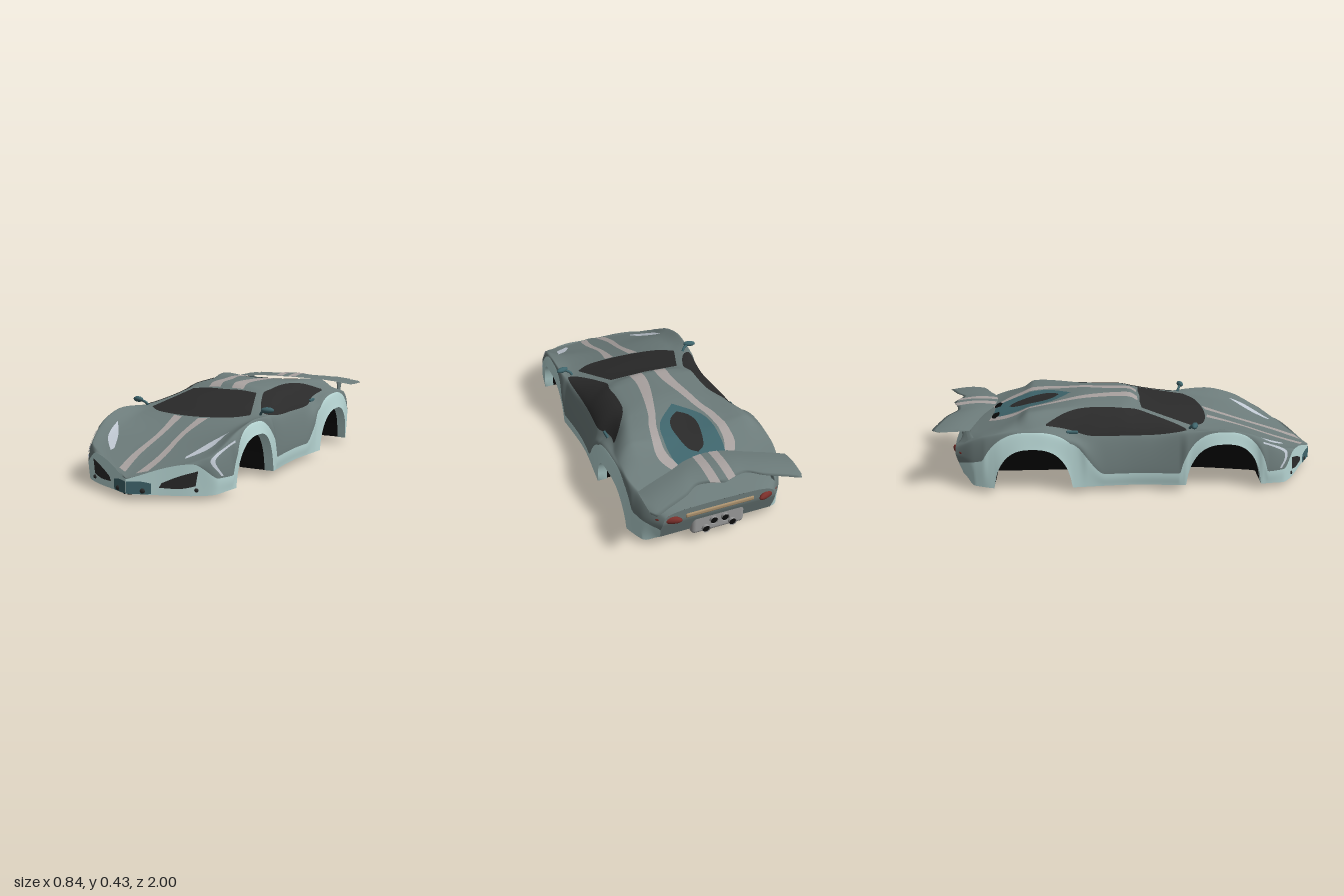
import * as THREE from 'three';
import { RoundedBoxGeometry } from 'three/addons/geometries/RoundedBoxGeometry.js';

const mat = (color) => new THREE.MeshStandardMaterial({ color, side: THREE.DoubleSide });
const M = {
  body: mat(0x6c7b7a), trim: mat(0xb9d8d6), teal: mat(0x3f656c), glass: mat(0x2a2a2a), black: mat(0x0b0b0b),
  stripe: mat(0xa8a19f), lamp: mat(0xc0c8d2), red: mat(0x7a2f2a), gold: mat(0xa88f6c), metal: mat(0x999999),
};

// Monotone cubic interpolation through rising xs
function smooth(xs, ys, x) {
  const n = xs.length - 1;
  let i = 0;
  while (i < n - 1 && x > xs[i + 1]) i++;
  const d = (k) => (ys[k + 1] - ys[k]) / (xs[k + 1] - xs[k]);
  const slope = (k) => {
    if (k === 0) return d(0);
    if (k === n) return d(n - 1);
    const a = d(k - 1), b = d(k);
    return a * b > 0 ? 2 * a * b / (a + b) : 0;
  };
  const h = xs[i + 1] - xs[i], t = THREE.MathUtils.clamp((x - xs[i]) / h, 0, 1), t2 = t * t, t3 = t2 * t;
  return (2 * t3 - 3 * t2 + 1) * ys[i] + (t3 - 2 * t2 + t) * h * slope(i) + (3 * t2 - 2 * t3) * ys[i + 1] + (t3 - t2) * h * slope(i + 1);
}
// Value along the car, given [z, value] points from nose to tail
function profile(points) {
  const zs = points.map((p) => -p[0]), vs = points.map((p) => p[1]);
  return (z) => smooth(zs, vs, -z);
}
const width = profile([[1, 0], [.93, .13], [.85, .285], [.79, .367], [.66, .405], [.47, .42], [0, .39], [-.25, .41],
  [-.45, .43], [-.65, .42], [-.8, .37], [-.9, .3]]);
const beltY = profile([[1, .103], [.9, .15], [.79, .205], [.6, .3], [.46, .326], [.3, .315], [.1, .282], [-.2, .285],
  [-.45, .345], [-.6, .335], [-.75, .3], [-.9, .215]]);
const beltIn = profile([[1, .92], [-.2, .91], [-.37, .83], [-.52, .9], [-.9, .94]]);
const roofX = profile([[1, 0], [.85, .2], [.7, .29], [.3, .295], [.05, .205], [-.2, .21], [-.42, .27], [-.52, .295], [-.9, .2]]);
const roofY = profile([[1, .105], [.79, .19], [.6, .265], [.3, .32], [.05, .388], [-.05, .41], [-.42, .412], [-.52, .405],
  [-.58, .367], [-.9, .24]]);
const centreY = profile([[1, .105], [.8, .172], [.5, .272], [.3, .333], [.06, .394], [0, .427], [-.2, .427], [-.5, .375],
  [-.7, .32], [-.9, .245]]);
const sillY = profile([[1, .03], [.85, .02], [.7, .032], [-.82, .035], [-.9, .08]]);
const trimY = profile([[1, .1], [.86, .17], [.79, .1], [-.13, .1], [-.3, .265], [-.5, .3], [-.72, .19], [-.9, .14]]);
const floorY = profile([[1, .03], [.85, .003], [.6, .025], [.3, .043], [-.7, .04], [-.9, .08]]);

// Wheel arch height above the ground
const arch = (z, c, r, h) => h * Math.sqrt(Math.max(0, 1 - Math.abs((z - c) / r) ** 2.6));
const lip = (z) => [width(z) * .98, Math.max(sillY(z), arch(z, .475, .195, .255), arch(z, -.5, .2, .245))];
const lipInner = (z) => { const [x] = lip(z); return Math.max(x - .05, x * .7); };
// The tail leans forward below the lamps
const lean = (z, y) => z + Math.max(0, (-z - .8) * 10) * .35 * Math.max(0, .18 - y);

// Cross-section at z as a function of v: 0 lip, 1 trim edge, 2 belt, 3 roof edge, 4 centre
function section(z) {
  const w = width(z), ty = Math.max(trimY(z), arch(z, .475, .235, .315), arch(z, -.5, .29, .33)), p = [
    lip(z), [w - Math.max(0, ty - .2) * .22, ty], [w * beltIn(z), beltY(z)],
    [roofX(z), roofY(z)], [0, centreY(z)], [-roofX(z), roofY(z)],
  ];
  const vs = p.map((_, i) => i), px = p.map((q) => q[0]), py = p.map((q) => q[1]);
  return (v) => {
    const y = smooth(vs, py, v);
    return new THREE.Vector3(smooth(vs, px, v), y, lean(z, y));
  };
}

function grid(nu, nv, f) {
  const pos = [], idx = [];
  for (let i = 0; i <= nu; i++) for (let j = 0; j <= nv; j++) pos.push(...f(i / nu, j / nv).toArray());
  for (let i = 0; i < nu; i++) for (let j = 0; j < nv; j++) {
    const a = i * (nv + 1) + j, b = a + nv + 1;
    idx.push(a, b, a + 1, b, b + 1, a + 1);
  }
  const g = new THREE.BufferGeometry();
  g.setAttribute('position', new THREE.Float32BufferAttribute(pos, 3));
  g.setIndex(idx);
  g.computeVertexNormals();
  return g;
}

// Point on the body under a plan position (x, z) or beside a side position (z, y), lifted along the normal
function project(axis, z, target, lift) {
  const s = section(z);
  let [lo, hi] = axis === 'x' ? [1, 4] : [0, roofY(z) > beltY(z) ? 3 : 2];
  for (let i = 0; i < 22; i++) {
    const m = (lo + hi) / 2;
    const below = axis === 'x' ? s(m).x > target : s(m).y < target;
    if (below) lo = m; else hi = m;
  }
  const dv = s(Math.min(lo + .03, 4)).sub(s(Math.max(lo - .03, 0)));
  const dz = section(z - .006)(lo).sub(section(z + .006)(lo));
  const n = dz.cross(dv).normalize();
  if (n.x + n.y < 0) n.negate();
  return s(lo).addScaledVector(n, lift);
}
// Inlay panel between two edge curves, in (x, z) from above or (z, y) from the side
function panel(axis, a, b, side = 1, lift = .003) {
  const curve = (pts) => new THREE.SplineCurve(pts.map((p) => new THREE.Vector2(...p)));
  const A = curve(a), B = curve(b);
  return grid(32, 12, (u, w) => {
    const q = A.getPoint(u).lerp(B.getPoint(u), w);
    const p = axis === 'x' ? project('x', q.y, Math.abs(q.x), lift) : project('y', q.x, q.y, lift);
    p.x *= axis === 'x' && q.x < 0 ? -side : side;
    return p;
  });
}
const flip = (p, s) => { p.x *= s; return p; };

// Wing surface: x across the span, w from leading to trailing edge
function wingPoint(x, w, lift) {
  const a = Math.abs(x);
  const lead = smooth([0, .1, .2, .3, .385], [-.7, -.715, -.755, -.785, -.81], a);
  const trail = smooth([0, .12, .2, .3, .37, .385], [-.935, -.9, -.945, -.98, -1, -.97], a);
  const y = .378 - .038 * (a / .385) ** 2 + .01 * Math.sin(w * Math.PI) - .006 * w;
  return new THREE.Vector3(x, y + lift, THREE.MathUtils.lerp(lead, trail, w));
}

export function createModel() {
  const car = new THREE.Group();
  const add = (name, geo, m, x = 0, y = 0, z = 0) => {
    const mesh = new THREE.Mesh(geo, m);
    mesh.name = name;
    mesh.position.set(x, y, z);
    car.add(mesh);
    return mesh;
  };

  // Main shell, both sides in one piece, and rear closing panel
  add('bodyShell', grid(190, 72, (u, w) => {
    const v = 1 + 6 * w, z = 1 - 1.9 * u;
    return v > 4 ? flip(section(z)(8 - v), -1) : section(z)(v);
  }), M.body);
  const tail = section(-.9);
  add('rearPanel', grid(24, 8, (u, w) => flip(tail(4 * u), 1 - 2 * w)), M.body);

  // Black underside with wheel wells
  add('underside', grid(150, 6, (u, w) => {
    const z = 1 - 1.9 * u, [x, y] = lip(z), f = floorY(z), k = Math.round(w * 6);
    const inner = Math.min(.2, x * .6);
    const [px, py] = [[lipInner(z), y], [inner + .01, y], [inner, f + .012], [0, f]][k > 3 ? 6 - k : k];
    return new THREE.Vector3(k > 3 ? -px : px, py, lean(z, py));
  }), M.black);

  // Windscreen and engine cover
  add('windscreen', panel('x', [[-.292, .325], [-.2, .388], [0, .414], [.2, .388], [.292, .325]],
    [[-.192, .062], [-.1, .055], [0, .06], [.1, .055], [.192, .062]]), M.glass);
  const cover = [[0, -.31], [.11, -.42], [.14, -.54], [.13, -.67], [.07, -.72]];
  const port = [[0, -.37], [.05, -.41], [.07, -.48], [.045, -.6], [0, -.64]];
  const mirrored = (pts) => pts.map(([x, z]) => [-x, z]);
  add('engineCover', panel('x', cover, mirrored(cover), 1, .004), M.teal);
  add('engineWindow', panel('x', port, mirrored(port), 1, .007), M.glass);

  // Rear wing with a thin curved underside
  add('rearWing', grid(48, 20, (u, w) => {
    const top = w <= .5, t = top ? w * 2 : 2 - w * 2;
    return wingPoint((u * 2 - 1) * .385, t, top ? 0 : -.012 * Math.sin(t * Math.PI));
  }), M.body);

  for (const s of [1, -1]) {
    // Pale trim and its inward-turned lip
    add('sideTrim', grid(190, 10, (u, w) => flip(section(1 - 1.9 * u)(w), s)), M.trim);
    add('archLip', grid(190, 2, (u, w) => {
      const z = 1 - 1.9 * u, [x, y] = lip(z);
      return new THREE.Vector3(s * THREE.MathUtils.lerp(x, lipInner(z), w), y, lean(z, y));
    }), M.trim);
    // Side glass
    add('sideWindow', panel('y', [[.28, .316], [.14, .295], [0, .291], [-.2, .295], [-.31, .322], [-.43, .35]],
      [[.28, .319], [.12, .364], [-.02, .398], [-.21, .405], [-.33, .395], [-.43, .358]], s), M.glass);
    // Racing stripes
    add('hoodStripe', panel('x', [[.048, .425], [.043, .6], [.05, .8], [.03, .96]],
      [[.1, .415], [.075, .6], [.088, .8], [.08, .935]], s), M.stripe);
    add('roofStripe', panel('x', [[.035, .045], [.04, -.1], [.1, -.33], [.14, -.45], [.155, -.6], [.09, -.73]],
      [[.105, .045], [.1, -.1], [.14, -.33], [.18, -.45], [.205, -.62], [.13, -.74]], s), M.stripe);
    add('wingStripe', grid(4, 12, (u, w) => wingPoint(s * (.02 + .045 * u), w, .002)), M.stripe);
    // Raised wing tip pad and dark vent beside the engine cover
    add('wingTipPad', grid(8, 8, (u, w) => wingPoint(s * (.255 + .085 * u), .15 + .65 * w, .003)), M.body);
    add('engineVent', panel('x', [[.05, -.69], [.1, -.685], [.14, -.7]], [[.05, -.72], [.1, -.725], [.14, -.71]], s, .008), M.black);
    // Headlight and thin running light
    add('headlight', panel('x', [[.322, .6], [.255, .69], [.202, .8]], [[.322, .6], [.295, .72], [.21, .82]], s, .006), M.lamp);
    add('runningLight', panel('y', [[.67, .25], [.79, .185], [.765, .11]], [[.67, .258], [.805, .188], [.777, .11]], s, .004), M.lamp);
    // Nose intakes
    add('frontIntake', panel('y', [[.928, .06], [.885, .055], [.85, .068]], [[.922, .082], [.885, .115], [.845, .138]], s), M.glass);
    add('nosePanel', panel('y', [[1, .033], [.97, .03], [.945, .03]], [[1, .09], [.97, .09], [.945, .08]], s, .004), M.teal);
    for (const [z, y, r] of [[.965, .045, .016], [.848, .048, .012]]) {
      const p = flip(project('y', z, y, .001), s);
      add('noseVent', new THREE.SphereGeometry(r, 16, 10), M.glass, p.x, p.y, p.z).scale.set(1, .8, .5);
    }
    // Door mirror on its stalk
    const mirror = add('mirror', new THREE.SphereGeometry(1, 20, 14), M.teal, s * .384, .349, .32);
    mirror.scale.set(.034, .015, .016);
    mirror.rotation.y = s * .25;
    add('mirrorStalk', new THREE.TubeGeometry(new THREE.CatmullRomCurve3([[.335, .318, .3], [.345, .333, .308], [.37, .346, .318]]
      .map(([x, y, z]) => new THREE.Vector3(s * x, y, z))), 10, .007, 8), M.teal);
    // Small side inlet behind the door
    const inlet = flip(project('y', -.3, .312, .002), s);
    add('sideInlet', new RoundedBoxGeometry(.014, .016, .06, 2, .005), M.teal, inlet.x, inlet.y, inlet.z);
    // Wing strut, flared at both ends
    add('wingStrut', grid(8, 12, (u, w) => {
      const a = w * Math.PI * 2, half = .022 + .03 * (2 * u - 1) ** 2;
      return new THREE.Vector3(s * (.3 + .007 * Math.cos(a)), .25 + .105 * u, -.83 - .015 * u + half * Math.sin(a));
    }), M.body);
    // Tail lamp wrapping the corner
    const lamp = add('tailLamp', new THREE.SphereGeometry(1, 20, 12), M.red, s * .262, .195, -.888);
    lamp.scale.set(.066, .022, .018);
    lamp.rotation.y = s * -.45;
    // Exhaust pipes
    for (const [x, y] of [[.07, .085], [.03, .125]]) {
      add('exhaustPipe', new THREE.CylinderGeometry(.02, .018, .04, 20, 1, true).rotateX(-Math.PI / 2), M.metal, s * x, y, -.885);
      add('exhaustBore', new THREE.CircleGeometry(.018, 20), M.black, s * x, y, -.9);
    }
  }

  // Rear band and diffuser
  add('rearBand', new RoundedBoxGeometry(.36, .026, .02, 3, .009), M.gold, 0, .2, -.896);
  add('diffuser', new RoundedBoxGeometry(.28, .12, .05, 4, .022), M.metal, 0, .115, -.865);
  return car;
}
